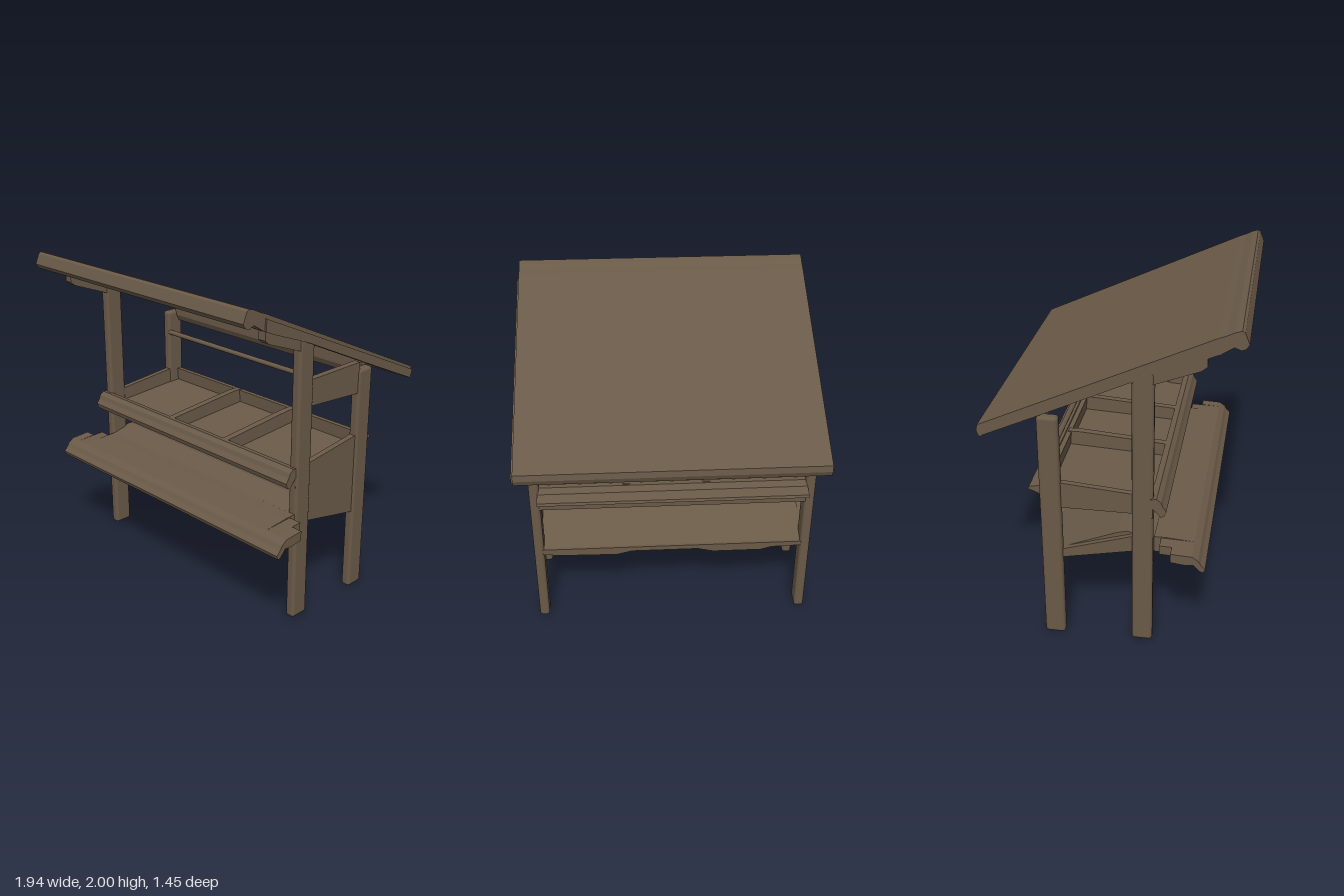
import * as THREE from 'three';
import { RoundedBoxGeometry } from 'three/addons/geometries/RoundedBoxGeometry.js';

const wood = new THREE.MeshStandardMaterial({ color: 0x6a5a48 });
wood.name = 'weathered brown wood';

const MID = -0.025; // x of the middle of the frame
const POST_X = [MID - 0.83, MID + 0.825];

export function createModel() {
  const group = new THREE.Group();

  const add = (name, geometry, x = 0, y = 0, z = 0) => {
    const mesh = new THREE.Mesh(geometry, wood);
    mesh.name = name;
    mesh.position.set(x, y, z);
    group.add(mesh);
    return mesh;
  };

  // Extrudes a [z, y] profile sideways from x0 to x1
  const board = (name, profile, x0, x1) => {
    const shape = new THREE.Shape(profile.map(([z, y]) => new THREE.Vector2(z, y)));
    const geometry = new THREE.ExtrudeGeometry(shape, { depth: x1 - x0, bevelEnabled: false });
    geometry.rotateY(-Math.PI / 2);
    return add(name, geometry, x1);
  };

  // Box with softened edges given by its bounds
  const beam = (name, x0, x1, y0, y1, z0, z1, r = 0.012) =>
    add(name, new RoundedBoxGeometry(x1 - x0, y1 - y0, z1 - z0, 2, r),
      (x0 + x1) / 2, (y0 + y1) / 2, (z0 + z1) / 2);

  // Sloping roof sheet with a thick rolled front edge and a small rear lip
  board('roof', [
    [0.70, 1.99], [0.685, 2.0], [0.65, 1.99], [0.61, 1.97], [0.57, 1.955], [-0.715, 1.368], [-0.72, 1.33],
    [-0.705, 1.295], [-0.66, 1.325], [-0.4, 1.45], [0.24, 1.75], [0.5, 1.86],
    [0.58, 1.865], [0.65, 1.91], [0.685, 1.895], [0.71, 1.905], [0.725, 1.93],
  ], -0.89, 0.87);

  // Edge rafters under both sides of the roof
  for (const [x0, x1] of [[-0.885, -0.82], [0.79, 0.88]])
    board('edgeRafter', [
      [0.57, 1.93], [0.57, 1.86], [0.5, 1.83], [0.24, 1.73], [-0.4, 1.435], [-0.7, 1.3], [-0.715, 1.35],
    ], x0, x1);

  // Posts and rafter ends on both sides
  for (const x of POST_X) {
    beam('frontPost', x - 0.031, x + 0.031, 0.01, 1.74, 0.13, 0.25, 0.02);
    beam('backPost', x - 0.031, x + 0.031, 0, 1.44, -0.39, -0.27, 0.02);
    board('rafterEnd', [[0.52, 1.84], [0.52, 1.79], [0.49, 1.765], [0.2, 1.655], [0.13, 1.67], [0.13, 1.7]],
      x - 0.025, x + 0.025);
  }

  // Closed left side: upper rail and full panel
  const sideX = POST_X[1];
  board('upperSideRail', [[0.14, 1.485], [0.14, 1.33], [-0.28, 1.295], [-0.28, 1.485]], sideX - 0.02, sideX + 0.02);
  board('sidePanel', [[0.14, 0.985], [0.14, 0.62], [-0.28, 0.525], [-0.37, 0.52], [-0.37, 1.0], [-0.28, 1.03]],
    sideX - 0.018, sideX + 0.018);

  // Open right side: only the ends of the tray and the shelf
  const openX = POST_X[0];
  board('trayEnd', [[0.25, 0.985], [0.25, 0.87], [-0.37, 0.87], [-0.37, 1.02], [-0.28, 1.03]], openX - 0.01, openX + 0.025);
  board('shelfEnd', [[0.14, 0.72], [0.14, 0.62], [-0.37, 0.515], [-0.37, 0.56]], openX - 0.01, openX + 0.025);

  // Rear crosspieces below the roof
  const [left, right] = [POST_X[0] + 0.02, POST_X[1] - 0.02];
  board('roofBeam', [[-0.34, 1.48], [-0.34, 1.41], [-0.36, 1.37], [-0.39, 1.37], [-0.39, 1.46]], left, right);
  const rod = new THREE.CylinderGeometry(0.016, 0.016, right - left, 10).rotateZ(Math.PI / 2);
  add('hangingRod', rod, (left + right) / 2, 1.295, -0.285);

  // Upper tray: floor, front rail, rear rim and dividers
  board('trayFloor', [[0.26, 0.905], [0.26, 0.88], [-0.38, 0.91], [-0.38, 0.94]], left, right);
  board('trayFrontRail', [
    [0.235, 0.985], [0.27, 0.99], [0.295, 0.97], [0.305, 0.945], [0.325, 0.915], [0.315, 0.885], [0.295, 0.875],
    [0.275, 0.9], [0.25, 0.925], [0.25, 0.865], [0.22, 0.865],
  ], -0.89, 0.82);
  board('trayRearRim', [
    [-0.34, 1.02], [-0.37, 1.02], [-0.39, 0.985], [-0.46, 0.972], [-0.465, 0.955], [-0.43, 0.945],
    [-0.385, 0.92], [-0.385, 0.865], [-0.35, 0.865],
  ], left, right);
  for (const x of [-0.23, 0.25])
    board('trayDivider', [[0.25, 0.985], [0.25, 0.89], [-0.36, 0.93], [-0.36, 1.025], [-0.28, 1.025]], x - 0.022, x + 0.022);

  // Lower shelf sloping down to the back
  board('lowerShelf', [[0.25, 0.695], [0.1, 0.73], [0.04, 0.715], [-0.38, 0.545], [-0.38, 0.515], [0.04, 0.62], [0.25, 0.61]],
    left, right);

  // Uneven trim along the rear edge of the lower shelf
  const trim = new THREE.Shape([
    [left, 0.55], [left, 0.52], [-0.65, 0.515], [-0.58, 0.495], [-0.28, 0.495], [-0.18, 0.52],
    [0.22, 0.52], [0.32, 0.495], [0.6, 0.5], [right, 0.51], [right, 0.55],
  ].map(([x, y]) => new THREE.Vector2(x, y)));
  add('shelfTrim', new THREE.ExtrudeGeometry(trim, { depth: 0.03, bevelEnabled: false }), 0, 0, -0.385);

  // Front counter with a drooping lip
  board('frontCounter', [
    [0.25, 0.7], [0.32, 0.7], [0.48, 0.688], [0.515, 0.665], [0.53, 0.64], [0.555, 0.615],
    [0.545, 0.59], [0.52, 0.6], [0.49, 0.635], [0.44, 0.625], [0.37, 0.605], [0.25, 0.6],
  ], -0.82, 0.82);

  // Counter ends reaching past the posts
  for (const [x0, x1, back] of [[-0.97, -0.9, 0.36], [-0.9, -0.82, 0.29], [0.82, 0.9, 0.29], [0.9, 0.97, 0.36]])
    board('counterEnd', [
      [back, 0.695], [0.48, 0.688], [0.515, 0.665], [0.53, 0.64], [0.555, 0.615],
      [0.545, 0.59], [0.52, 0.6], [0.49, 0.635], [0.44, 0.63], [back, 0.64],
    ], x0, x1);

  return group;
}
